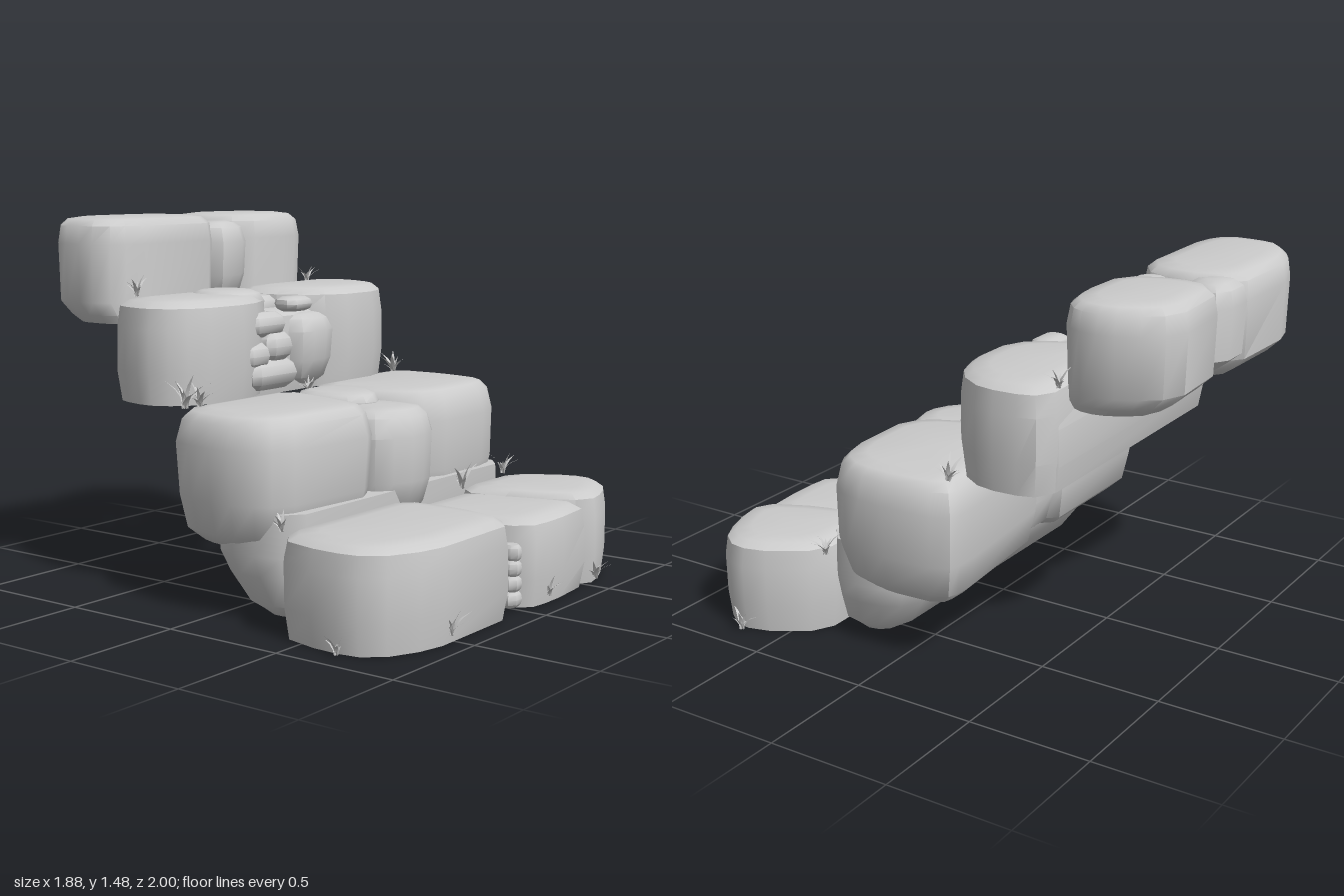
import * as THREE from 'three';
import { toCreasedNormals } from 'three/addons/utils/BufferGeometryUtils.js';

const stone = new THREE.MeshStandardMaterial({ color: 0xcccccc });
const leaf = new THREE.MeshStandardMaterial({ color: 0xcccccc, side: THREE.DoubleSide });

// Layer profiles from bottom to top: [height fraction, inset, z shift]
const FLAT = [[0, 0.015, 0], [0.3, 0, 0], [0.72, 0, 0], [0.92, 0.012, 0], [0.98, 0.045, 0], [1, 0.11, 0]];
const ROUND = [[0, 0.09, 0], [0.1, 0.035, 0], [0.35, 0.008, 0], [0.75, 0, 0], [0.92, 0.02, 0], [0.98, 0.05, 0], [1, 0.11, 0]];
const UNDERCUT = [[0, 0.06, 0.05], [0.08, 0.03, 0.03], [0.2, 0.008, 0], [0.75, 0, 0], [0.92, 0.012, 0], [0.98, 0.04, 0], [1, 0.1, 0]];
const KEEL = [[0, 0.12, 0.06], [0.12, 0.06, 0.05], [0.4, 0.02, 0.01], [0.6, 0, 0], [1, 0, 0]];

// Cuts every corner of a plan outline into a short chamfer
function chamfer(plan, cut) {
  const out = [];
  plan.forEach((p, i) => {
    const n = plan.length;
    for (const q of [plan[(i + n - 1) % n], plan[(i + 1) % n]]) {
      const k = Math.min(0.28, cut / Math.hypot(q[0] - p[0], q[1] - p[1]));
      out.push([p[0] + (q[0] - p[0]) * k, p[1] + (q[1] - p[1]) * k]);
    }
  });
  return out;
}

// A stone lofted from its plan outline of [x, z] corners, seen clockwise from the front corner
function rock(name, plan, y0, y1, layers = ROUND, cut = 0.06) {
  if (THREE.ShapeUtils.area(plan.map(p => new THREE.Vector2(...p))) < 0) plan = [...plan].reverse();
  const ring = chamfer(plan, cut);
  const xs = ring.map(p => p[0]), zs = ring.map(p => p[1]);
  const cx = (Math.min(...xs) + Math.max(...xs)) / 2, cz = (Math.min(...zs) + Math.max(...zs)) / 2;
  const hx = Math.max(...xs) - cx, hz = Math.max(...zs) - cz;
  const n = ring.length, pos = [], idx = [];
  for (const [t, inset, dz] of layers) {
    const sx = 1 - Math.min(0.7, inset / hx), sz = 1 - Math.min(0.7, inset / hz);
    for (const [x, z] of ring) {
      const wear = 0.008 * Math.sin(9 * x + 7 * t + 5 * z) * Math.sin(Math.PI * t);
      pos.push(cx + (x - cx) * (sx - wear), y0 + (y1 - y0) * t, cz + (z - cz) * (sz - wear) + dz);
    }
  }
  const L = layers.length;
  for (let j = 0; j < L - 1; j++) for (let i = 0; i < n; i++) {
    const a = j * n + i, b = j * n + (i + 1) % n;
    idx.push(a, a + n, b, b, a + n, b + n);
  }
  // Closing caps
  pos.push(cx, y0, cz + layers[0][2], cx, y1, cz);
  for (let i = 0; i < n; i++) {
    const k = (i + 1) % n;
    idx.push(L * n, i, k, L * n + 1, (L - 1) * n + k, (L - 1) * n + i);
  }
  const g = new THREE.BufferGeometry();
  g.setAttribute('position', new THREE.Float32BufferAttribute(pos, 3));
  g.setIndex(idx);
  const mesh = new THREE.Mesh(toCreasedNormals(g, 0.75), stone);
  mesh.name = name;
  return mesh;
}

// A small rounded stone wedged in a joint
function pebble(x, y, z, w, h, d) {
  const mesh = rock('pebble', [[-w, -d], [w, -d], [w, d], [-w, d]], -h, h,
    [[0, 0.35 * w, 0], [0.2, 0.08 * w, 0], [0.5, 0, 0], [0.8, 0.08 * w, 0], [1, 0.35 * w, 0]], 0.03);
  mesh.position.set(x, y, z);
  return mesh;
}

// A tuft of bent, pointed blades fanning out from one spot
function tuft(x, y, z, size, seed) {
  const pos = [], idx = [], blades = 9;
  for (let b = 0; b < blades; b++) {
    const a = b * 2.4 + seed, len = size * (0.75 + 0.25 * Math.sin(b * 5 + seed));
    const lean = 0.35 + 0.5 * (b % 3) / 2;
    const start = pos.length / 3;
    for (let s = 0; s <= 3; s++) {
      const t = s / 3, r = len * lean * (0.25 * t + 0.75 * t * t);
      const h = len * (t - 0.3 * lean * t * t), w = size * 0.09 * (1 - t) * (1 + t);
      for (const e of [-1, 1])
        pos.push(Math.cos(a) * r - Math.sin(a) * w * e, h, Math.sin(a) * r + Math.cos(a) * w * e);
      if (s < 3) {
        const k = start + s * 2;
        idx.push(k, k + 1, k + 2, k + 1, k + 3, k + 2);
      }
    }
  }
  const g = new THREE.BufferGeometry();
  g.setAttribute('position', new THREE.Float32BufferAttribute(pos, 3));
  g.setIndex(idx);
  g.computeVertexNormals();
  const mesh = new THREE.Mesh(g, leaf);
  mesh.name = 'grassTuft';
  mesh.position.set(x, y, z);
  return mesh;
}

function part(name, ...meshes) {
  const g = new THREE.Group();
  g.name = name;
  g.add(...meshes);
  return g;
}

export function createModel() {
  const model = new THREE.Group();
  model.name = 'rockStairs';

  // Lowest step: long stone, sunken middle stone, end stone
  model.add(part('firstStep',
    rock('longStone', [[-0.05, 0.36], [-0.84, 0.36], [-0.9, 0.62], [-0.87, 0.82], [-0.64, 0.93], [-0.09, 0.92], [-0.03, 0.65]], 0, 0.39, FLAT),
    rock('middleStone', [[-0.06, 0.37], [0.42, 0.37], [0.5, 0.7], [0.52, 0.9], [0.2, 0.93], [0.01, 0.91], [-0.02, 0.7]], 0, 0.35, FLAT),
    rock('endStone', [[0.32, 0.37], [0.72, 0.37], [0.88, 0.62], [0.86, 0.78], [0.68, 0.88], [0.49, 0.92], [0.36, 0.65]], 0, 0.38, FLAT),
    ...[0.05, 0.11, 0.17, 0.23].map((y, i) => pebble(-0.03, y, 0.86, 0.045 - 0.004 * i, 0.032, 0.04))));

  // Second step: two big stones with a bulging stone between, on a keel stone
  model.add(part('secondStep',
    rock('keelStone', [[-0.72, -0.03], [0.66, -0.03], [0.74, 0.15], [0.7, 0.37], [-0.72, 0.37], [-0.78, 0.15]], 0.01, 0.42, KEEL),
    rock('leftStone', [[-0.05, -0.22], [-0.76, -0.22], [-0.83, -0.02], [-0.83, 0.2], [-0.74, 0.33], [-0.22, 0.37], [-0.13, 0.2]], 0.27, 0.78),
    rock('rightStone', [[0.03, -0.22], [0.68, -0.28], [0.79, -0.25], [0.81, 0.08], [0.77, 0.27], [0.63, 0.35], [0.22, 0.36], [0.1, 0.2]], 0.26, 0.78),
    rock('middleStone', [[-0.14, -0.2], [0.15, -0.2], [0.17, 0.08], [0.2, 0.34], [0.08, 0.42], [-0.08, 0.41], [-0.22, 0.3], [-0.15, 0.1]], 0.29, 0.74),
    rock('cap', [[-0.13, -0.15], [0.13, -0.15], [0.17, 0.05], [0.05, 0.2], [-0.08, 0.18], [-0.15, 0.02]], 0.62, 0.785)));

  // Third step: a base slab under two stones, rubble in the gap
  model.add(part('thirdStep',
    rock('baseSlab', [[-0.66, -0.6], [0.64, -0.61], [0.66, -0.35], [0.55, -0.2], [-0.6, -0.2], [-0.7, -0.35]], 0.76, 1.1, FLAT),
    rock('leftStone', [[-0.1, -0.58], [-0.7, -0.57], [-0.76, -0.42], [-0.76, -0.28], [-0.64, -0.16], [-0.34, -0.14], [-0.12, -0.25]], 0.77, 1.175, FLAT),
    rock('rightStone', [[0.02, -0.58], [0.65, -0.61], [0.7, -0.45], [0.67, -0.26], [0.5, -0.13], [0.2, -0.13], [0.06, -0.3]], 0.76, 1.18, FLAT),
    rock('topStone', [[-0.36, -0.5], [-0.16, -0.52], [-0.1, -0.4], [-0.13, -0.25], [-0.26, -0.2], [-0.38, -0.25], [-0.42, -0.38]], 1.0, 1.19),
    rock('frontStone', [[-0.08, -0.35], [0.22, -0.35], [0.25, -0.18], [0.08, -0.13], [-0.06, -0.16]], 0.78, 1.08),
    pebble(-0.3, 0.93, -0.19, 0.08, 0.05, 0.05), pebble(-0.17, 0.96, -0.18, 0.08, 0.055, 0.05),
    pebble(-0.22, 1.05, -0.2, 0.11, 0.05, 0.05), pebble(-0.2, 0.85, -0.18, 0.14, 0.06, 0.05),
    pebble(0.0, 1.12, -0.22, 0.08, 0.03, 0.06), pebble(-0.04, 1.1, -0.38, 0.07, 0.05, 0.07),
    pebble(-0.02, 1.11, -0.52, 0.09, 0.05, 0.07)));

  // Top step: two rounded stones and a wedge between them
  model.add(part('topStep',
    rock('leftStone', [[-0.08, -0.99], [-0.52, -1.0], [-0.69, -0.9], [-0.72, -0.78], [-0.71, -0.62], [-0.58, -0.55], [-0.08, -0.55], [-0.01, -0.75]], 1.06, 1.48, UNDERCUT),
    rock('rightStone', [[0.04, -0.98], [0.42, -1.0], [0.54, -0.85], [0.57, -0.7], [0.52, -0.59], [0.4, -0.55], [0.1, -0.56], [0.0, -0.78]], 1.06, 1.48, UNDERCUT),
    rock('backWedge', [[-0.19, -0.99], [0.05, -0.99], [0.06, -0.85], [-0.03, -0.76], [-0.1, -0.85]], 1.1, 1.465, UNDERCUT),
    rock('frontWedge', [[-0.12, -0.75], [0.12, -0.75], [0.16, -0.6], [0.05, -0.545], [-0.1, -0.55]], 1.1, 1.45)));

  // Grass in the joints: x, y, z, blade length
  const spots = [
    [-0.89, 0, 0.68, 0.1], [-0.53, 0.03, 0.92, 0.11], [0.16, 0.03, 0.92, 0.1], [0.55, 0.02, 0.91, 0.11],
    [0.88, 0, 0.68, 0.11], [-0.77, 0.37, 0.34, 0.09], [0.35, 0.36, 0.39, 0.13], [0.75, 0.36, 0.34, 0.11],
    [-0.72, 0.77, -0.17, 0.15], [-0.66, 0.77, -0.15, 0.11], [0, 0.75, -0.14, 0.09], [0.7, 0.76, -0.21, 0.12],
    [-0.59, 1.17, -0.54, 0.1], [0.57, 1.16, -0.6, 0.1]];
  model.add(part('grass', ...spots.map((s, i) => tuft(...s, i))));
  return model;
}
